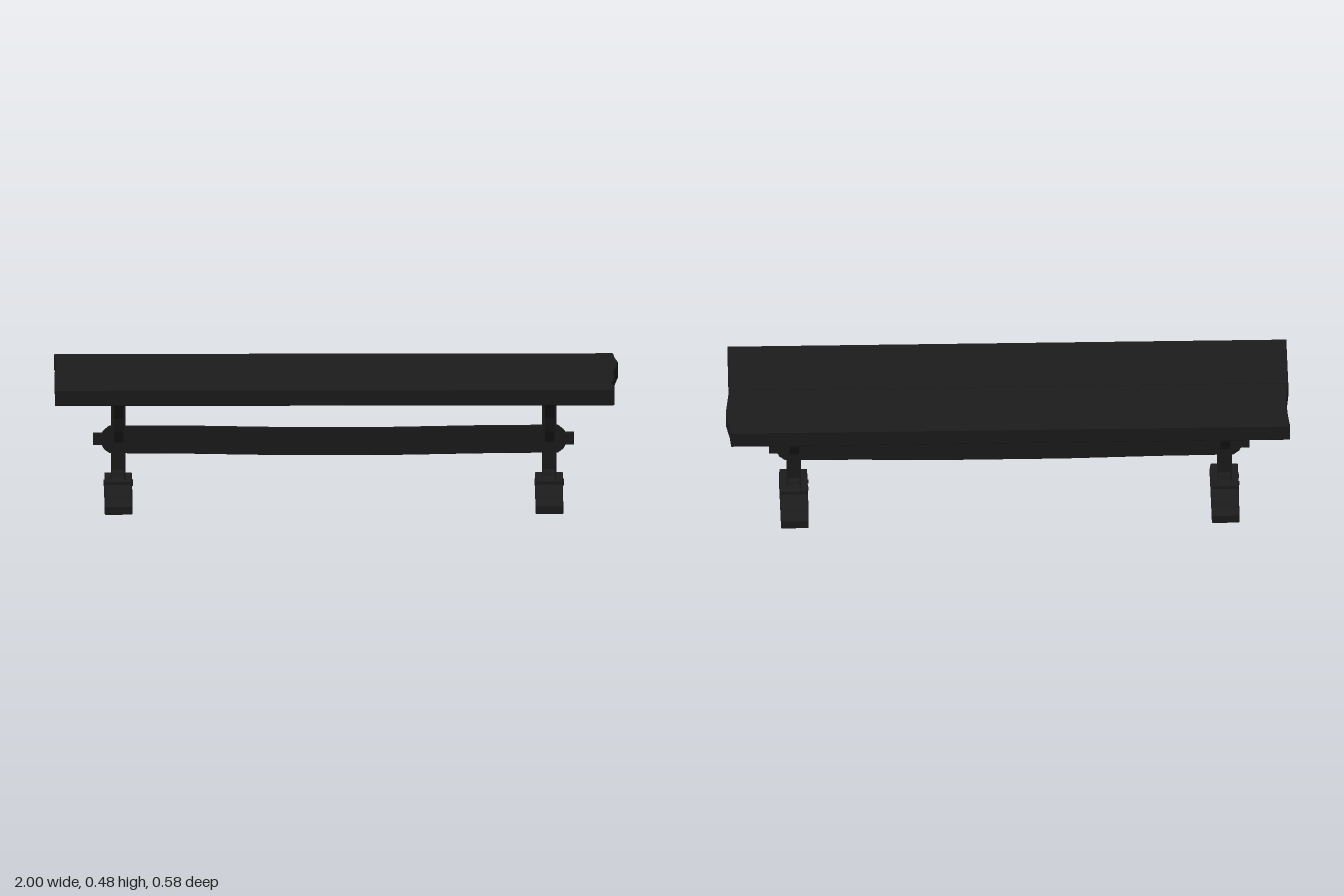
import * as THREE from 'three';

const wood = new THREE.MeshStandardMaterial({ color: 0x1c1c1c, flatShading: true });

function part(name, geometry, parent) {
  const mesh = new THREE.Mesh(geometry, wood);
  mesh.name = name;
  parent.add(mesh);
  return mesh;
}

// Extrude an outline, centred on its depth, with a small worn bevel
function slab(points, depth, bevel = 0.002) {
  const shape = new THREE.Shape(points.map(([a, b]) => new THREE.Vector2(a, b)));
  const g = new THREE.ExtrudeGeometry(shape, {
    depth: depth - 2 * bevel, bevelEnabled: true, bevelSize: bevel,
    bevelThickness: bevel, bevelOffset: -bevel, bevelSegments: 1,
  });
  return g.translate(0, 0, bevel - depth / 2);
}

// Outline in (z, y), thickness along x
const crossSlab = (points, depth) => slab(points, depth).rotateY(-Math.PI / 2);
const mirrored = (half) => [...half, ...half.map(([a, b]) => [-a, b]).reverse()];

const footHalf = [[0.16, 0], [0.16, 0.029], [0.142, 0.036], [0.128, 0.047], [0.119, 0.06],
  [0.1, 0.079], [0.076, 0.089], [0.076, 0.1]];
const collarHalf = [[0.073, 0.098], [0.068, 0.103], [0.053, 0.112], [0.046, 0.127], [0.038, 0.135]];
const bracket = [[0.03, 0.236], [0.045, 0.236], [0.066, 0.28], [0.078, 0.33], [0.12, 0.376],
  [0.185, 0.405], [0.215, 0.405], [0.243, 0.418], [0.243, 0.426], [0.03, 0.426]];

// Trestle: shaped foot, collar, post, two curved brackets and pegs
function trestle(name, x) {
  const g = new THREE.Group();
  g.name = name;
  g.position.x = x;
  part('foot', crossSlab(mirrored(footHalf), 0.098), g);
  part('footCollar', crossSlab(mirrored(collarHalf), 0.044), g);
  part('post', new THREE.BoxGeometry(0.051, 0.33, 0.076).translate(0, 0.261, 0), g);
  for (const s of [1, -1]) {
    const points = bracket.map(([z, y]) => [s * z, y]);
    part(s > 0 ? 'frontBracket' : 'backBracket', crossSlab(points, 0.036), g);
    const peg = part('peg', new THREE.CylinderGeometry(0.007, 0.007, 0.104, 10), g);
    peg.rotation.z = Math.PI / 2;
    peg.position.set(0, 0.08, s * 0.024);
  }
  return g;
}

export function createModel() {
  const model = new THREE.Group();
  model.name = 'bench';

  // Two top planks with uneven sawn ends, outlines in (x, z)
  const planks = {
    backPlank: [[-1, -0.29], [0.984, -0.29], [0.988, -0.23], [1, -0.15], [0.994, -0.09],
      [0.985, -0.002], [-1, -0.002], [-0.994, -0.07], [-0.99, -0.14], [-0.994, -0.22]],
    frontPlank: [[-1, 0.002], [0.985, 0.002], [0.985, 0.14], [0.974, 0.18], [0.983, 0.21],
      [0.984, 0.29], [-1, 0.29]],
  };
  for (const [name, points] of Object.entries(planks)) {
    part(name, slab(points, 0.058).rotateX(Math.PI / 2).translate(0, 0.454, 0), model);
  }

  model.add(trestle('rightTrestle', -0.774), trestle('leftTrestle', 0.755));

  // Sagging stretcher with chamfered shoulders and tenons through the posts
  const top = [[-0.863, 0.262], [-0.832, 0.262], [-0.825, 0.272], [-0.805, 0.288],
    [-0.54, 0.287], [-0.2, 0.281], [0.2, 0.281], [0.54, 0.287],
    [0.786, 0.288], [0.806, 0.272], [0.813, 0.262], [0.843, 0.262]];
  const bottom = [[0.843, 0.218], [0.813, 0.218], [0.806, 0.204], [0.786, 0.189],
    [0.54, 0.187], [0.2, 0.181], [-0.2, 0.181], [-0.54, 0.187],
    [-0.805, 0.189], [-0.825, 0.204], [-0.832, 0.218], [-0.863, 0.218]];
  part('stretcher', slab([...top, ...bottom].reverse(), 0.013, 0.001), model);

  return model;
}
